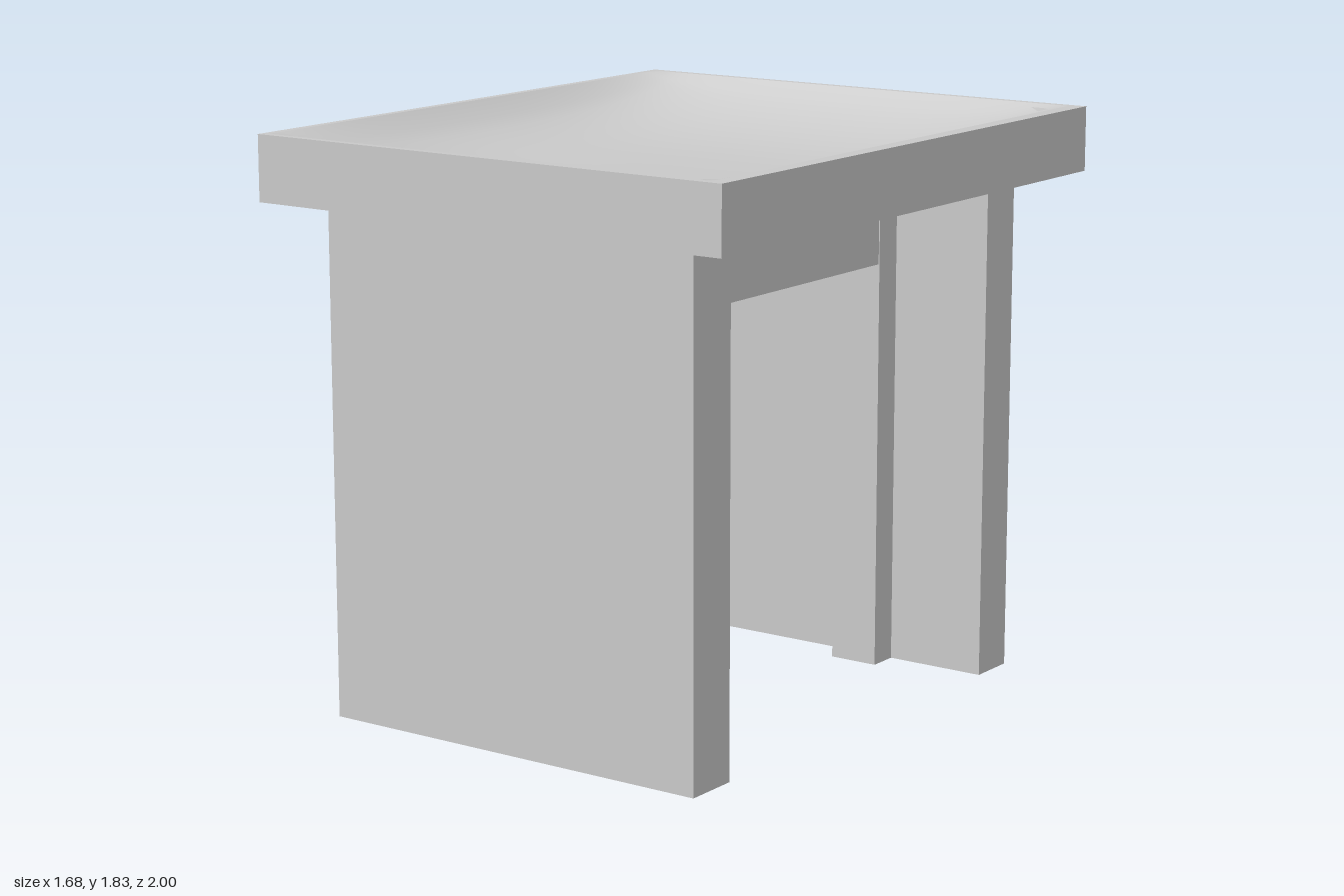
import * as THREE from 'three';

const material = new THREE.MeshStandardMaterial({ color: 0xcccccc });
const thin = new THREE.MeshStandardMaterial({ color: 0xcccccc, side: THREE.DoubleSide });

// Box given by its minimum and maximum on each axis
function block(name, [x0, x1], [y0, y1], [z0, z1]) {
  const mesh = new THREE.Mesh(new THREE.BoxGeometry(x1 - x0, y1 - y0, z1 - z0), material);
  mesh.name = name;
  mesh.position.set((x0 + x1) / 2, (y0 + y1) / 2, (z0 + z1) / 2);
  return mesh;
}

// Corner points of a rectangle in x and z
const rectangle = (x0, x1, z0, z1) =>
  [[x0, z0], [x1, z0], [x1, z1], [x0, z1]].map(([x, z]) => new THREE.Vector2(x, -z));

export function createModel() {
  const model = new THREE.Group();
  model.name = 'stool';

  // Seat: frame with a narrow rim, closed underneath
  const seat = new THREE.Group();
  seat.name = 'seat';
  const left = -0.82, right = 0.79, end = 0.975, top = 1.825, bottom = 1.62;
  const outline = new THREE.Shape(rectangle(-0.845, 0.84, -1, 1));
  outline.holes.push(new THREE.Path(rectangle(left, right, -end, end)));
  const frameGeometry = new THREE.ExtrudeGeometry(outline, { depth: top - bottom, bevelEnabled: false });
  frameGeometry.rotateX(-Math.PI / 2);
  const frame = new THREE.Mesh(frameGeometry, material);
  frame.name = 'seatFrame';
  frame.position.y = bottom;
  seat.add(frame, block('seatBase', [-0.84, 0.835], [bottom, 1.64], [-0.995, 0.995]));

  // Hollowed sitting surface: steep at the rim, gentle towards the middle
  const width = right - left;
  const dishGeometry = new THREE.PlaneGeometry(width, 2 * end, 32, 40);
  dishGeometry.rotateX(-Math.PI / 2);
  const p = dishGeometry.attributes.position;
  for (let i = 0; i < p.count; i++) {
    const u = Math.abs(p.getX(i)) / (width / 2), v = Math.abs(p.getZ(i)) / end;
    const inside = Math.max(0, (1 - u ** 4) * (1 - v ** 3));
    p.setY(i, -0.16 * inside ** 0.75);
  }
  dishGeometry.computeVertexNormals();
  const dish = new THREE.Mesh(dishGeometry, thin);
  dish.name = 'seatHollow';
  dish.position.set((left + right) / 2, top, 0);
  seat.add(dish);

  // Small corner pieces at the left end of the hollow
  for (const z of [-0.95, 0.88]) {
    const corner = z < 0 ? [0.74, -0.87] : [0.74, 0.96];
    const points = [[0.67, z], [0.74, z], corner].map(([x, w]) => new THREE.Vector2(x, -w));
    const piece = new THREE.Mesh(new THREE.ShapeGeometry(new THREE.Shape(points)), thin);
    piece.name = 'cornerPiece';
    piece.rotation.x = -Math.PI / 2;
    piece.position.y = 1.815;
    seat.add(piece);
  }
  model.add(seat);

  // Leg panels, each with an off-centre post on the inside
  const panelX = [-0.675, 0.665], postX = [0.165, 0.33];
  model.add(
    block('frontLegPanel', panelX, [0.02, bottom], [0.705, 0.885]),
    block('frontLegPost', postX, [0.02, bottom], [0.605, 0.705]),
    block('backLegPanel', panelX, [0, bottom], [-0.86, -0.70]),
    block('backLegPost', postX, [0, bottom], [-0.70, -0.60]),
    block('crossBeam', postX, [1.325, bottom], [-0.595, 0.60])
  );
  return model;
}
